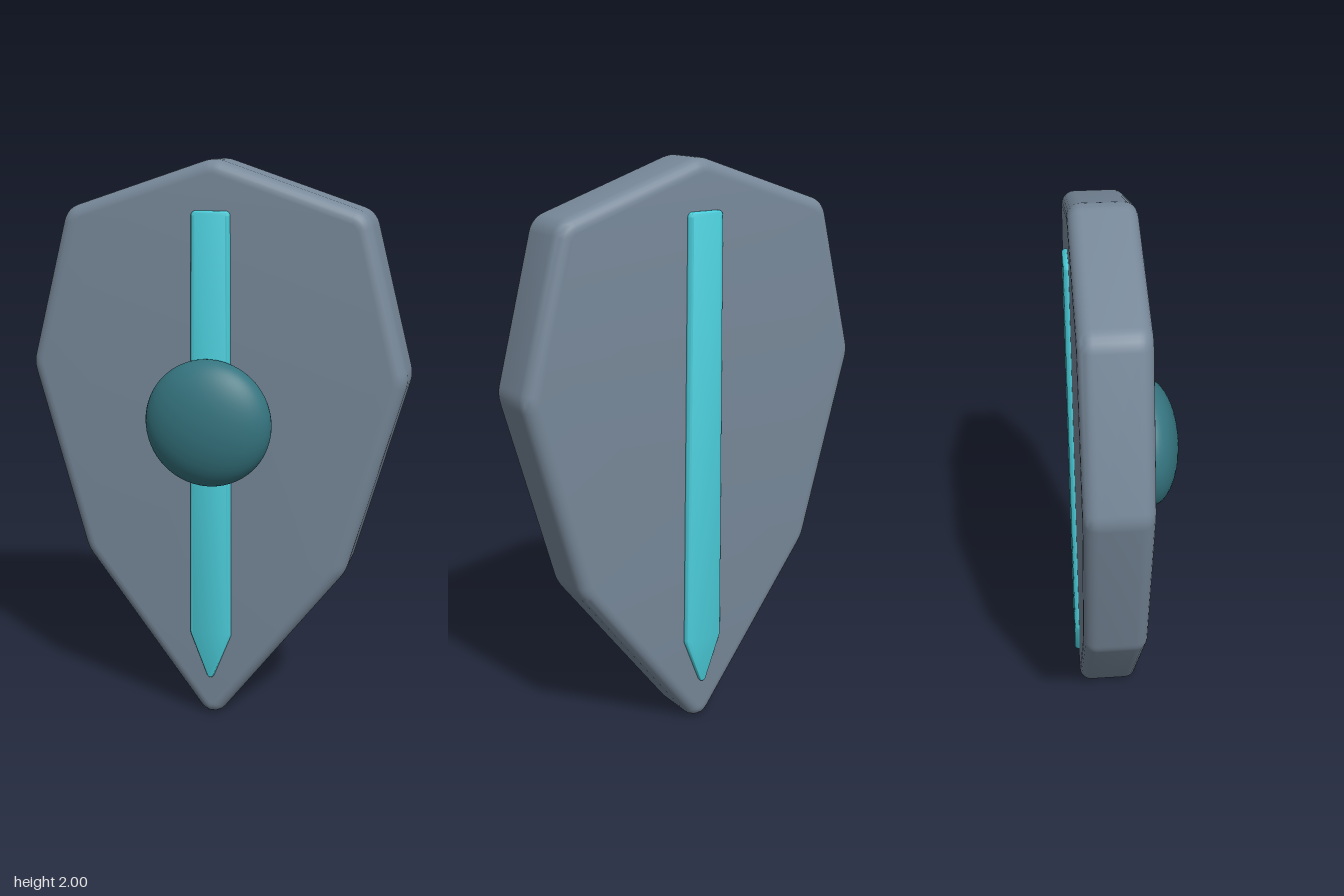
import * as THREE from 'three';
import { toCreasedNormals } from 'three/addons/utils/BufferGeometryUtils.js';

// Mirror a right-hand profile (bottom tip first) into a closed outline with slightly rounded corners
function outline(half, rounding) {
  const pts = half.map(([x, y]) => new THREE.Vector2(x, y));
  for (let i = half.length - 1; i >= 0; i--) {
    if (half[i][0] > 0) pts.push(new THREE.Vector2(-half[i][0], half[i][1]));
  }
  const shape = new THREE.Shape();
  pts.forEach((p, i) => {
    const prev = pts[(i + pts.length - 1) % pts.length];
    const next = pts[(i + 1) % pts.length];
    const a = p.clone().add(prev.clone().sub(p).setLength(rounding));
    const b = p.clone().add(next.clone().sub(p).setLength(rounding));
    if (i === 0) shape.moveTo(a.x, a.y);
    else shape.lineTo(a.x, a.y);
    shape.quadraticCurveTo(p.x, p.y, b.x, b.y);
  });
  shape.closePath();
  return shape;
}

// Plate between two depths; the bevel grows outward from the outline
function plate(name, half, rounding, back, front, bevel, color) {
  const geometry = new THREE.ExtrudeGeometry(outline(half, rounding), {
    depth: front - back - 2 * bevel,
    bevelSize: bevel,
    bevelThickness: bevel,
    bevelSegments: 6,
    curveSegments: 5,
  });
  geometry.translate(0, 0, back + bevel);
  const mesh = new THREE.Mesh(toCreasedNormals(geometry, 0.7), new THREE.MeshStandardMaterial({ color }));
  mesh.name = name;
  return mesh;
}

export function createModel() {
  const model = new THREE.Group();
  model.name = 'shield';

  // Thick body with softened rim
  model.add(plate('body',
    [[0, 0.037], [0.438, 0.62], [0.622, 1.29], [0.487, 1.797], [0, 1.958]],
    0.02, -0.173, 0.047, 0.045, 0x778899));

  // Pointed strip running through the body, proud on both faces
  model.add(plate('strip',
    [[0, 0.165], [0.063, 0.328], [0.054, 1.822]],
    0.004, -0.19, 0.064, 0.013, 0x4acbd8));

  // Flattened central boss
  const boss = new THREE.Mesh(
    new THREE.SphereGeometry(1, 48, 32),
    new THREE.MeshStandardMaterial({ color: 0x35747f }));
  boss.name = 'boss';
  boss.scale.set(0.223, 0.223, 0.107);
  boss.position.set(0, 1.12, 0.083);
  model.add(boss);

  return model;
}
